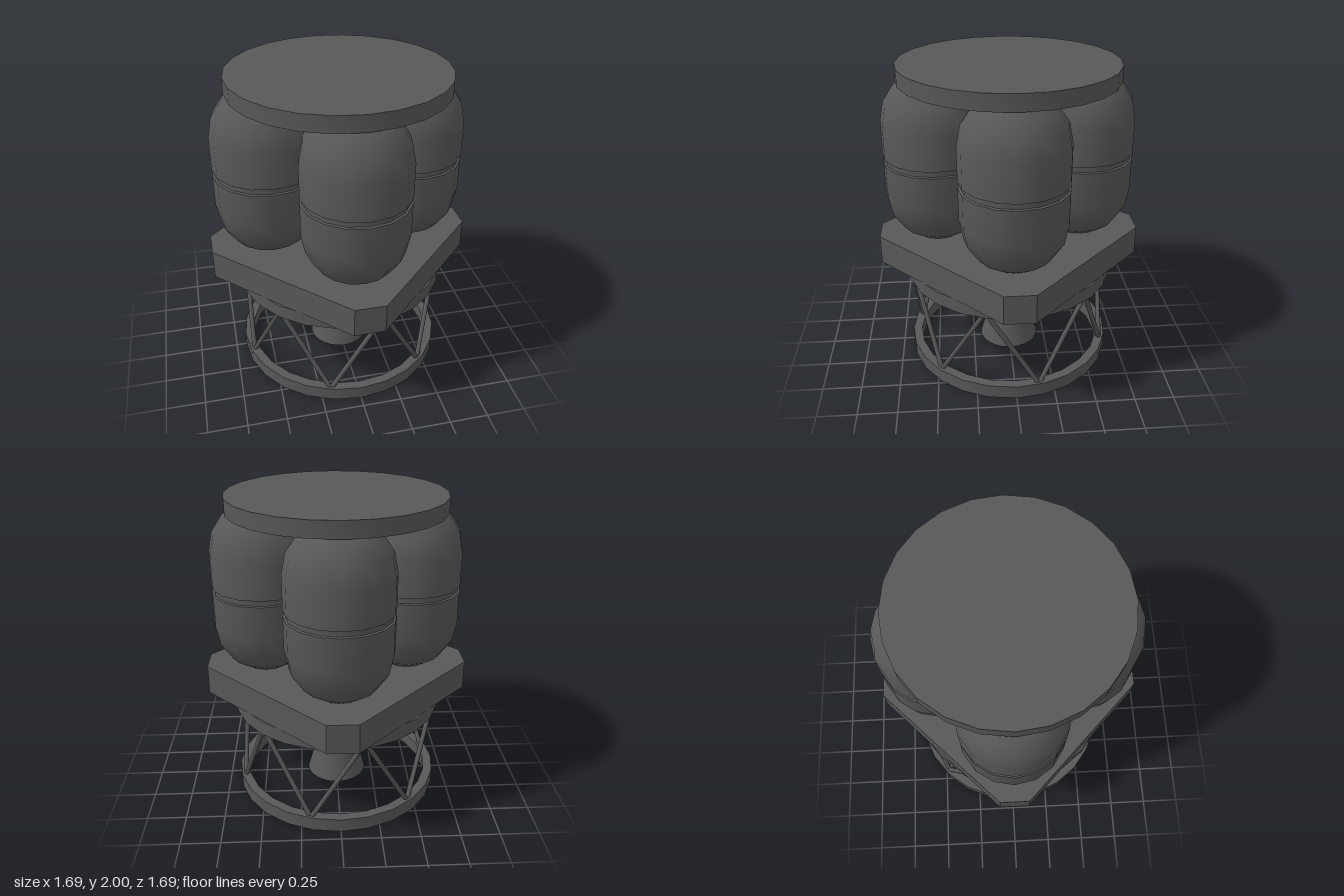
import * as THREE from 'three';
import { toCreasedNormals } from 'three/addons/utils/BufferGeometryUtils.js';

const darkGrey = new THREE.MeshStandardMaterial({ color: 0x585858, side: THREE.DoubleSide });
darkGrey.name = 'darkGrey';

export function createModel() {
  const model = new THREE.Group();
  model.name = 'propulsionStage';

  const add = (name, geometry) => {
    const mesh = new THREE.Mesh(geometry, darkGrey);
    mesh.name = name;
    model.add(mesh);
    return mesh;
  };
  // Revolve a profile of [radius, height] points, keeping sharp rims
  const turn = (profile, sides) => toCreasedNormals(
    new THREE.LatheGeometry(profile.map(([r, y]) => new THREE.Vector2(r, y)), sides), 0.6);
  const ring = (y0, y1) => turn(
    [[0.62, y0], [0.68, y0], [0.68, y1], [0.62, y1], [0.62, y0]], 24);

  // Round plates and rings
  add('topPlate', turn([[0, 1.9], [0.68, 1.9], [0.68, 2], [0, 2]], 24));
  add('upperRing', ring(0.61, 0.7));
  add('baseRing', ring(0, 0.09));

  // Square platform with clipped corners
  const a = 0.845, b = 0.095;
  const outline = [[a, -b], [a, b], [b, a], [-b, a], [-a, b], [-a, -b], [-b, -a], [b, -a]];
  const shape = new THREE.Shape(outline.map(([x, y]) => new THREE.Vector2(x, y)));
  const platform = new THREE.ExtrudeGeometry(shape, { depth: 0.19, bevelEnabled: false });
  platform.rotateX(-Math.PI / 2).translate(0, 0.7, 0);
  add('platform', platform);

  // Four domed tanks, each with a shallow seam around the middle
  const R = 0.33, lower = [], upper = [];
  for (let i = 0; i <= 4; i++) {
    const t = i * Math.PI / 8;
    lower.push([R * Math.sin(t), 1.18 - R * Math.cos(t)]);
    upper.push([R * Math.cos(t), 1.64 + R * Math.sin(t)]);
  }
  const seam = [[R, 1.39], [0.317, 1.394], [0.317, 1.426], [R, 1.43]];
  const tank = turn([...lower, ...seam, ...upper], 16);
  for (let i = 0; i < 4; i++) {
    const angle = i * Math.PI / 2;
    add('tank' + (i + 1), tank).position.set(0.46 * Math.sin(angle), 0, 0.46 * Math.cos(angle));
  }

  // Open engine bell with a throat and flared mount
  add('engineBell', turn([[0.2, 0.03], [0.075, 0.49], [0.075, 0.6], [0.17, 0.7]], 24));

  // Zigzag truss between the rings
  const anchor = (degrees, y) => {
    const t = THREE.MathUtils.degToRad(degrees);
    return new THREE.Vector3(0.65 * Math.sin(t), y, 0.65 * Math.cos(t));
  };
  for (let i = 0; i < 6; i++) {
    for (const side of [-30, 30]) {
      const foot = 43 + i * 60;
      const path = new THREE.LineCurve3(anchor(foot, 0.07), anchor(foot + side, 0.63));
      add('trussStrut', new THREE.TubeGeometry(path, 1, 0.016, 8));
    }
  }
  return model;
}
